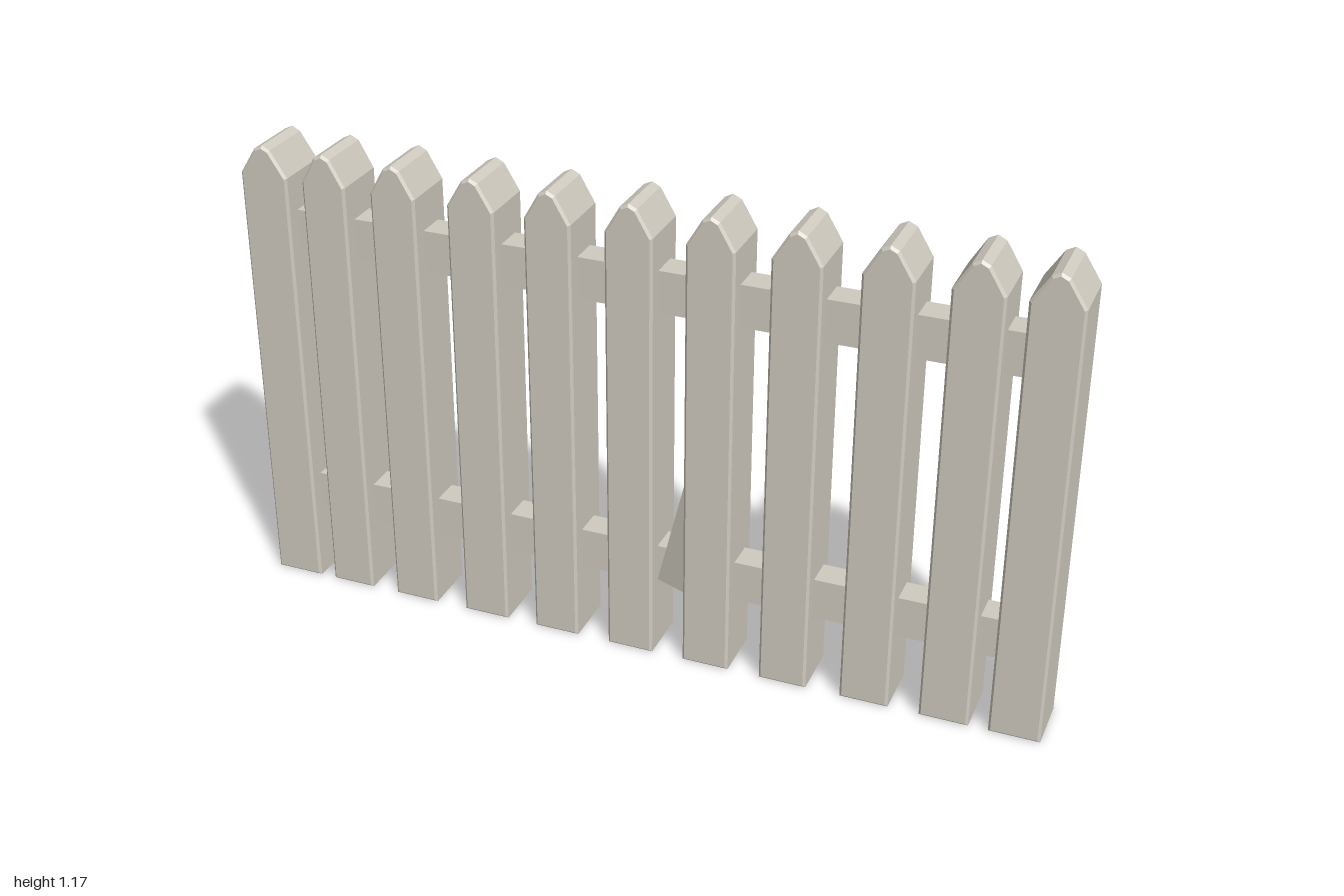
import * as THREE from 'three';

export function createModel() {
  const fence = new THREE.Group();
  fence.name = 'picketFence';
  const wood = new THREE.MeshStandardMaterial({ color: 0xcfcabf, flatShading: true });
  wood.name = 'paleWood';
  const splinterWood = wood.clone();
  splinterWood.name = 'paleWoodTwoSided';
  splinterWood.side = THREE.DoubleSide;

  const add = (name, geometry, x, y, z, material = wood) => {
    const mesh = new THREE.Mesh(geometry, material);
    mesh.name = name;
    mesh.position.set(x, y, z);
    fence.add(mesh);
    return mesh;
  };

  // Softly bevelled picket with a blunt pointed top
  const bevel = 0.006, depth = 0.15;
  function picketGeometry(width, height, lean) {
    const w = width / 2 - bevel, top = height - bevel, shoulder = height - 0.075;
    const shape = new THREE.Shape([
      [-w, bevel], [w, bevel], [w + lean, shoulder], [0.016 + lean, top - 0.008],
      [lean, top], [-0.016 + lean, top - 0.008], [-w + lean, shoulder],
    ].map(([x, y]) => new THREE.Vector2(x, y)));
    return new THREE.ExtrudeGeometry(shape, {
      depth: depth - 2 * bevel, bevelEnabled: true,
      bevelThickness: bevel, bevelSize: bevel, bevelSegments: 1,
    }).translate(0, 0, -depth / 2 + bevel);
  }

  // Pickets: uneven spacing, width and lean as if cut by hand
  const pickets = [
    [-0.939, 0.122, 0.001], [-0.782, 0.112, 0.002], [-0.600, 0.114, 0],
    [-0.404, 0.117, 0.002], [-0.212, 0.114, 0], [-0.016, 0.115, 0],
    [0.179, 0.116, -0.002], [0.375, 0.117, -0.001], [0.577, 0.118, -0.001],
    [0.770, 0.118, 0], [0.937, 0.122, -0.002],
  ];
  pickets.forEach(([x, width, lean], i) =>
    add(`picket${i + 1}`, picketGeometry(width, 1.168, lean), x, 0, 0));

  // Horizontal rails running through the middle of the pickets
  for (const [name, y] of [['lowerRail', 0.232], ['upperRail', 0.952]])
    add(name, new THREE.BoxGeometry(1.84, 0.104, 0.072), 0, y, 0);

  // Split sliver of wood between a picket and the lower rail
  const sliver = new THREE.BufferGeometry().setFromPoints([
    new THREE.Vector3(0.042, 0.19, 0.036),
    new THREE.Vector3(0.124, 0.19, 0.068),
    new THREE.Vector3(0.124, 0.5, 0.07),
  ]);
  sliver.computeVertexNormals();
  add('splitSliver', sliver, 0, 0, 0, splinterWood);

  return fence;
}
